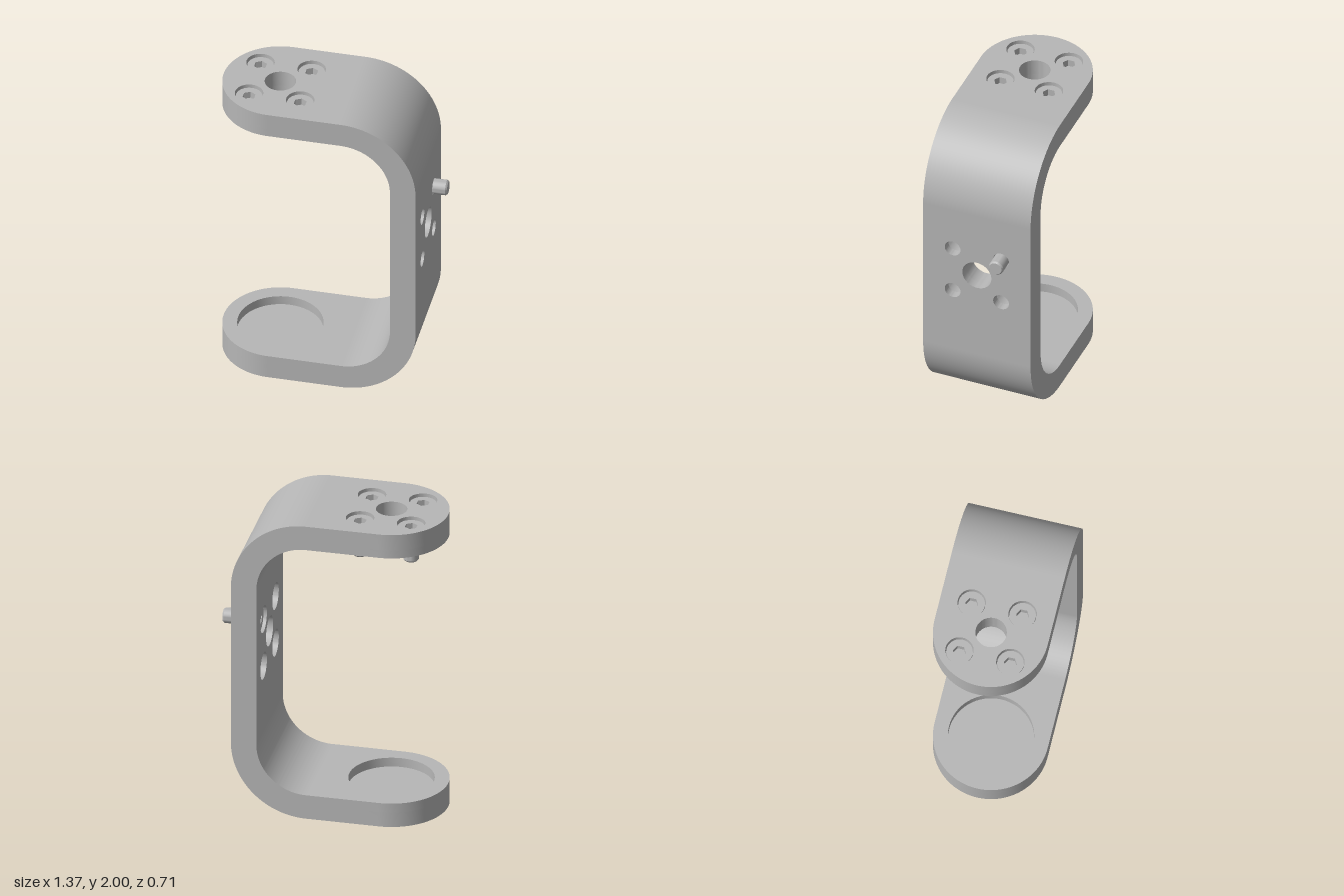
import * as THREE from 'three';
import { toCreasedNormals } from 'three/addons/utils/BufferGeometryUtils.js';

const W = 0.355;      // half width of the strap
const T = 0.16;       // strap thickness
const BORE = 0.105;   // counterbore depth
const END = -0.335;   // centre of the rounded ends
const BEND = 0.12;    // where the flat arms meet the bends
const R = 0.47;       // outer bend radius
const PITCH = 0.16;   // half spacing of the screw holes
const corners = [[-1, -1], [1, -1], [1, 1], [-1, 1]];

export function createModel() {
  const group = new THREE.Group();
  const steel = new THREE.MeshStandardMaterial({ color: 0xb6b6b6 });
  steel.name = 'grey steel';

  const add = (parent, name, geometry) => {
    const mesh = new THREE.Mesh(toCreasedNormals(geometry, 0.6), steel);
    mesh.name = name;
    parent.add(mesh);
    return mesh;
  };
  const extrude = (shape, depth) =>
    new THREE.ExtrudeGeometry(shape, { depth, bevelEnabled: false, curveSegments: 32 });
  const cut = (shape, x, y, r) => {
    const hole = new THREE.Path();
    hole.absarc(x, y, r, 0, Math.PI * 2, true);
    shape.holes.push(hole);
  };
  // centre hole with four screw holes around it
  const cutPattern = (shape, x, y, r) => {
    cut(shape, x, y, 0.096);
    corners.forEach(([i, j]) => cut(shape, x + i * PITCH, y + j * PITCH, r));
    return shape;
  };

  // Flat arm with a rounded end, lying in plan
  const armShape = () => {
    const s = new THREE.Shape();
    s.moveTo(BEND, -W);
    s.lineTo(BEND, W);
    s.lineTo(END, W);
    s.absarc(END, 0, W, Math.PI / 2, Math.PI * 1.5, false);
    s.closePath();
    return s;
  };
  const addArmLayer = (name, shape, y, depth) =>
    add(group, name, extrude(shape, depth).rotateX(-Math.PI / 2).translate(0, y, 0));

  addArmLayer('upperArmLower', cutPattern(armShape(), END, 0, 0.052), 2 - T, T - BORE);
  addArmLayer('upperArmCounterbored', cutPattern(armShape(), END, 0, 0.087), 2 - BORE, BORE);

  // Lower arm with a shallow round pocket
  const pocket = armShape();
  cut(pocket, END, 0, 0.264);
  addArmLayer('lowerArmBase', armShape(), 0, T - 0.06);
  addArmLayer('lowerArmPocketRim', pocket, T - 0.06, 0.06);

  // Upright wall, counterbored from the inside
  const wallShape = (r) => {
    const s = new THREE.Shape();
    s.moveTo(-W, R);
    s.lineTo(W, R);
    s.lineTo(W, 2 - R);
    s.lineTo(-W, 2 - R);
    s.closePath();
    return cutPattern(s, 0, 1.075, r);
  };
  const wallX = BEND + R - T;
  add(group, 'wallCounterbored',
    extrude(wallShape(0.087), BORE).rotateY(Math.PI / 2).translate(wallX, 0, 0));
  add(group, 'wallOuter',
    extrude(wallShape(0.052), T - BORE).rotateY(Math.PI / 2).translate(wallX + BORE, 0, 0));

  // Quarter bends
  [['lowerBend', R, -Math.PI / 2], ['upperBend', 2 - R, 0]].forEach(([name, y, a]) => {
    const s = new THREE.Shape();
    s.absarc(BEND, y, R, a, a + Math.PI / 2, false);
    s.absarc(BEND, y, R - T, a + Math.PI / 2, a, true);
    s.closePath();
    add(group, name, extrude(s, W * 2).translate(0, 0, -W));
  });

  // Socket screw: origin at the head seat, head pointing up
  const addScrew = (name) => {
    const screw = new THREE.Group();
    screw.name = name;
    const profile = [[0, -0.145], [0.04, -0.145], [0.048, -0.135], [0.048, 0],
      [0.081, 0], [0.081, 0.04], [0, 0.04]].map(([x, y]) => new THREE.Vector2(x, y));
    add(screw, 'screwBody', new THREE.LatheGeometry(profile, 32));
    const ring = new THREE.Shape();
    ring.absarc(0, 0, 0.081, 0, Math.PI * 2, false);
    const hex = new THREE.Path();
    hex.setFromPoints([0, 1, 2, 3, 4, 5].map((i) => {
      const a = Math.PI / 2 - i * Math.PI / 3;
      return new THREE.Vector2(0.041 * Math.cos(a), 0.041 * Math.sin(a));
    }));
    hex.closePath();
    ring.holes.push(hex);
    add(screw, 'screwSocketHead', extrude(ring, 0.045).rotateX(-Math.PI / 2).translate(0, 0.04, 0));
    group.add(screw);
    return screw;
  };

  corners.forEach(([i, j], n) =>
    addScrew('armScrew' + (n + 1)).position.set(END + i * PITCH, 2 - BORE, j * PITCH));
  const wallScrew = addScrew('wallScrew');
  wallScrew.rotation.z = Math.PI / 2;
  wallScrew.position.set(wallX + BORE, 1.075 + PITCH, -PITCH);

  return group;
}
